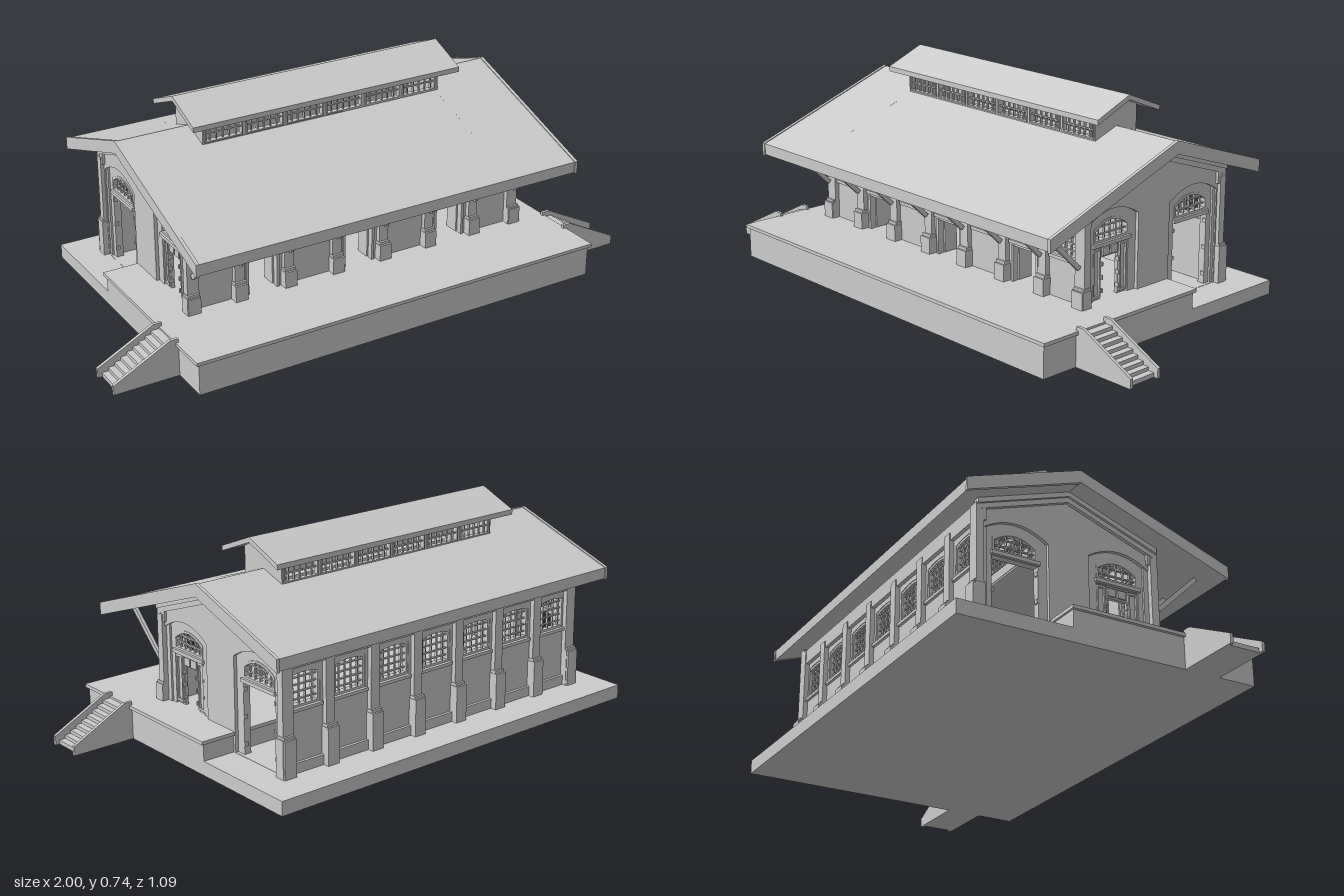
import * as THREE from 'three';

const mat = new THREE.MeshStandardMaterial({ color: 0xcccccc, flatShading: true });
const RIDGE_Z = -0.08;

function add(parent, name, geo) {
  const m = new THREE.Mesh(geo, mat);
  m.name = name;
  parent.add(m);
  return m;
}

// Box given by its min/max limits
function box(parent, name, x0, x1, y0, y1, z0, z1) {
  const g = new THREE.BoxGeometry(x1 - x0, y1 - y0, z1 - z0);
  return add(parent, name, g.translate((x0 + x1) / 2, (y0 + y1) / 2, (z0 + z1) / 2));
}

function poly(pts) {
  return new THREE.Shape(pts.map(p => new THREE.Vector2(p[0], p[1])));
}
const rect = (u0, u1, v0, v1) => poly([[u0, v0], [u1, v0], [u1, v1], [u0, v1]]);

// Opening with a shallow curved head
function arch(u0, u1, v0, spring, top) {
  const s = new THREE.Shape();
  s.moveTo(u0, v0);
  s.lineTo(u1, v0);
  s.lineTo(u1, spring);
  s.quadraticCurveTo((u0 + u1) / 2, 2 * top - spring, u0, spring);
  s.closePath();
  return s;
}

function extrude(shape, depth, holes = []) {
  shape.holes.push(...holes);
  return new THREE.ExtrudeGeometry(shape, { depth, bevelEnabled: false, curveSegments: 12 });
}

// Profile in (z, y) swept between two x positions
function sweepX(parent, name, shape, x0, x1, holes) {
  const g = extrude(shape, x1 - x0, holes).rotateY(-Math.PI / 2);
  return add(parent, name, g.translate(x1, 0, 0));
}

// Glazing bars with frame in the (u, v) plane, centred on w = 0
function glazing(u0, u1, v0, spring, top, cols, rows, frame = 0.008) {
  const g = new THREE.Group();
  g.name = 'window';
  const mid = (u0 + u1) / 2, half = (u1 - u0) / 2, b = 0.0022;
  const outer = arch(u0, u1, v0, spring, top);
  const inner = arch(u0 + frame, u1 - frame, v0 + frame, spring - frame, top - frame);
  add(g, 'windowFrame', extrude(outer, 0.02, [inner]).translate(0, 0, -0.01));
  for (let i = 1; i < cols; i++) {
    const u = u0 + (u1 - u0) * i / cols, t = (u - mid) / half;
    const end = spring + (top - spring) * (1 - t * t) - frame / 2;
    box(g, 'glazingBar', u - b, u + b, v0, end, -0.004, 0.004);
  }
  for (let j = 1; j < rows; j++) {
    const v = v0 + (top - v0) * j / rows;
    box(g, 'glazingBar', u0 + 0.002, u1 - 0.002, v - b, v + b, -0.004, 0.004);
  }
  return g;
}

// Gable roof band in (z, y) from front eave to back eave
function roofProfile(front, back, ridgeY, thick) {
  return poly([[front[0], front[1] - thick], [front[0], front[1]], [RIDGE_Z, ridgeY],
    [back[0], back[1]], [back[0], back[1] - thick], [RIDGE_Z, ridgeY - thick]]);
}

function buildBase(root) {
  const base = new THREE.Group();
  base.name = 'base';
  root.add(base);
  box(base, 'lowerSlab', -0.77, 0.77, 0, 0.05, -0.545, 0.54);
  box(base, 'platform', -0.77, 0.77, 0, 0.111, -0.14, 0.54);
  box(base, 'platformEdge', -0.78, 0.78, 0.11, 0.122, -0.147, 0.548);
  // Stairs at both ends
  for (const s of [1, -1]) {
    const stairs = new THREE.Group();
    stairs.name = s > 0 ? 'leftStairs' : 'rightStairs';
    base.add(stairs);
    const n = 9;
    for (let i = 0; i < n; i++) {
      const a = 0.785 + 0.022 * i, top = 0.115 - i * 0.0125;
      const x0 = i ? a : 0.765, x1 = a + 0.024;
      box(stairs, 'step', Math.min(s * x0, s * x1), Math.max(s * x0, s * x1), 0, top, 0.28, 0.395);
    }
    const side = poly([[0.77, 0], [1, 0], [1, 0.033], [0.8, 0.135], [0.77, 0.135]].map(p => [p[0] * s, p[1]]));
    for (const z of [0.271, 0.391]) add(stairs, 'stairCheek', extrude(side, 0.011).translate(0, 0, z));
  }
}

function buildLongWall(root, front) {
  const wall = new THREE.Group();
  wall.name = front ? 'frontWall' : 'backWall';
  root.add(wall);
  const dir = front ? 1 : -1, face = front ? 0.242 : -0.4, floor = front ? 0.122 : 0.05;
  // Box set out from the wall face by distances d0..d1
  const out = (name, x0, x1, y0, y1, d0, d1) => {
    const a = face + dir * d0, b = face + dir * d1;
    return box(wall, name, x0, x1, y0, y1, Math.min(a, b), Math.max(a, b));
  };
  const holes = [];
  for (let i = -3; i <= 3; i++) {
    const x = i * 0.188, door = front && i % 2 === 0 && Math.abs(i) === 2 || front && i === 0;
    holes.push(arch(x - 0.064, x + 0.064, 0.267, 0.38, 0.388));
    const w = glazing(x - 0.064, x + 0.064, 0.267, 0.38, 0.388, 5, 5);
    w.position.z = face - dir * 0.012;
    wall.add(w);
    out('windowSill', x - 0.07, x + 0.07, 0.256, 0.267, -0.01, 0.01);
    if (door) {
      holes.push(rect(x - 0.055, x + 0.055, 0.122, 0.245));
      for (const s of [-1, 1]) {
        out('doorLeaf', x + s * 0.052 - 0.003, x + s * 0.052 + 0.003, 0.124, 0.243, -0.075, -0.02);
        out('doorJamb', x + s * 0.058 - 0.005, x + s * 0.058 + 0.005, 0.122, 0.248, -0.01, 0.005);
      }
    }
  }
  const g = extrude(rect(-0.645, 0.645, 0.04, 0.462), 0.028, holes);
  add(wall, 'wallPanel', g.translate(0, 0, front ? face - 0.028 : face));
  out('frieze', -0.66, 0.66, 0.405, 0.46, -0.02, 0.014);
  out('plinth', -0.65, 0.65, 0.04, front ? 0.06 : 0.085, -0.01, 0.01);
  // Pilasters with stepped feet, and canopy braces on the platform side
  for (let i = 0; i < 8; i++) {
    const x = (i - 3.5) * 0.188;
    const px = Math.sign(x) * Math.min(Math.abs(x), 0.645);
    out('pilaster', px - 0.018, px + 0.018, 0.04, 0.43, -0.01, 0.017);
    out('pilasterFoot', px - 0.023, px + 0.023, floor - 0.01, 0.18, -0.01, 0.032);
    out('pilasterCap', px - 0.021, px + 0.021, 0.18, 0.19, -0.01, 0.025);
    if (front) {
      const brace = add(wall, 'canopyBrace', new THREE.BoxGeometry(0.012, 0.016, 0.215));
      brace.position.set(px, 0.332, 0.345);
      brace.rotation.x = -Math.atan2(0.15, 0.155);
    }
  }
}

function buildEndWall(root, s) {
  const wall = new THREE.Group();
  wall.name = s > 0 ? 'leftEndWall' : 'rightEndWall';
  root.add(wall);
  // Layer spanning distances a..b from the centre, on this end
  const layer = (name, shape, a, b, holes) =>
    sweepX(wall, name, shape, s > 0 ? a : -b, s > 0 ? b : -a, holes);
  const gable = () => poly([[-0.4, 0.04], [0.242, 0.04], [0.242, 0.475], [RIDGE_Z, 0.59], [-0.4, 0.48]]);
  const bays = [{ z0: 0.035, z1: 0.195 }, { z0: -0.348, z1: -0.185 }];
  const openings = [rect(0.035, 0.195, 0.122, 0.302), rect(-0.35, -0.183, 0.051, 0.302)];
  for (const b of bays) {
    openings.push(arch(b.z0, b.z1, 0.318, 0.365, 0.393));
    const w = glazing(b.z0, b.z1, 0.318, 0.365, 0.393, 6, 3);
    w.rotation.y = -Math.PI / 2;
    w.position.x = s * 0.63;
    wall.add(w);
    layer('windowSill', rect(b.z0 - 0.006, b.z1 + 0.006, 0.304, 0.317), 0.63, 0.647);
  }
  layer('innerWall', gable(), 0.612, 0.638, openings);
  layer('outerWall', gable(), 0.638, 0.65, [
    arch(0.0, 0.235, 0.122, 0.385, 0.425), arch(-0.385, -0.15, 0.051, 0.385, 0.425)]);
  // Raking cornice in two steps and corner piers
  for (const [drop, x1] of [[0.022, 0.67], [0.04, 0.662]]) {
    layer('rakingCornice', poly([[0.255, 0.47], [RIDGE_Z, 0.59], [-0.415, 0.475],
      [-0.415, 0.475 - drop], [RIDGE_Z, 0.59 - drop], [0.255, 0.47 - drop]]), 0.645, x1);
  }
  for (const [z0, z1, y0] of [[0.24, 0.259, 0.11], [-0.417, -0.4, 0.04]]) {
    layer('cornerPier', rect(z0, z1, y0, 0.46), 0.62, 0.662);
    layer('cornerFoot', rect(z0 - 0.008, z1 + 0.012, y0, 0.182), 0.62, 0.67);
  }
  // Small door: side panels and transom around the passage
  for (const [a, b] of [[0.155, 0.196], [0.034, 0.074]]) {
    layer('doorSidePanel', rect(a, b, 0.12, 0.3), 0.618, 0.63);
    layer('doorPanelFrame', rect(a + 0.003, b - 0.003, 0.13, 0.298), 0.63, 0.637,
      [rect(a + 0.009, b - 0.009, 0.138, 0.29)]);
  }
  layer('transom', rect(0.074, 0.155, 0.262, 0.3), 0.618, 0.63);
  for (const z of [0.08, 0.118]) layer('transomPanel', rect(z, z + 0.031, 0.268, 0.296), 0.63, 0.636);
  // Hinges on the passage edges
  for (const [a, b, y0, dy] of [[0.075, 0.154, 0.145, 0.045], [-0.349, -0.184, 0.08, 0.095]]) {
    for (let i = 0; i < 3; i++) {
      const y = y0 + i * dy;
      layer('hinge', rect(a - 0.002, a + 0.004, y, y + 0.014), 0.625, 0.64);
      layer('hinge', rect(b - 0.004, b + 0.002, y, y + 0.014), 0.625, 0.64);
    }
  }
}

function buildRoof(root) {
  const roof = new THREE.Group();
  roof.name = 'roof';
  root.add(roof);
  const F = [0.485, 0.425], B = [-0.49, 0.485], T = 0.04;
  // Full gable sections at the ends, open beneath the lantern in the middle
  sweepX(roof, 'roofEnd', roofProfile(F, B, 0.625, T), 0.46, 0.735);
  sweepX(roof, 'roofEnd', roofProfile(F, B, 0.625, T), -0.735, -0.46);
  sweepX(roof, 'frontSlope', poly([[0.485, 0.385], [0.485, 0.425], [0.01, 0.593], [0.01, 0.553]]), -0.46, 0.46);
  sweepX(roof, 'backSlope', poly([[-0.49, 0.485], [-0.49, 0.445], [-0.165, 0.556], [-0.165, 0.596]]), -0.46, 0.46);
  for (const x of [-0.742, 0.73]) {
    sweepX(roof, 'bargeBoard', roofProfile([0.488, 0.427], [-0.493, 0.487], 0.628, 0.045), x, x + 0.012);
  }
}

function buildLantern(root) {
  const lantern = new THREE.Group();
  lantern.name = 'roofLantern';
  root.add(lantern);
  for (const z of [0.008, -0.175]) {
    const holes = [];
    for (let i = 0; i < 6; i++) {
      const x = (i - 2.5) * 0.157;
      holes.push(rect(x - 0.073, x + 0.073, 0.594, 0.656));
      const w = glazing(x - 0.073, x + 0.073, 0.594, 0.656, 0.656, 6, 2, 0.005);
      w.position.z = z + 0.006;
      lantern.add(w);
    }
    add(lantern, 'lanternWall', extrude(rect(-0.47, 0.47, 0.56, 0.685), 0.012, holes).translate(0, 0, z));
  }
  for (const x of [-0.47, 0.455]) {
    sweepX(lantern, 'lanternEnd', poly([[-0.175, 0.565], [0.02, 0.565], [0.02, 0.686],
      [RIDGE_Z, 0.725], [-0.175, 0.686]]), x, x + 0.015);
  }
  sweepX(lantern, 'lanternRoof', roofProfile([0.068, 0.68], [-0.226, 0.68], 0.74, 0.018), -0.527, 0.527);
}

export function createModel() {
  const root = new THREE.Group();
  root.name = 'goodsShed';
  buildBase(root);
  buildLongWall(root, true);
  buildLongWall(root, false);
  for (const s of [1, -1]) buildEndWall(root, s);
  buildRoof(root);
  buildLantern(root);
  return root;
}
